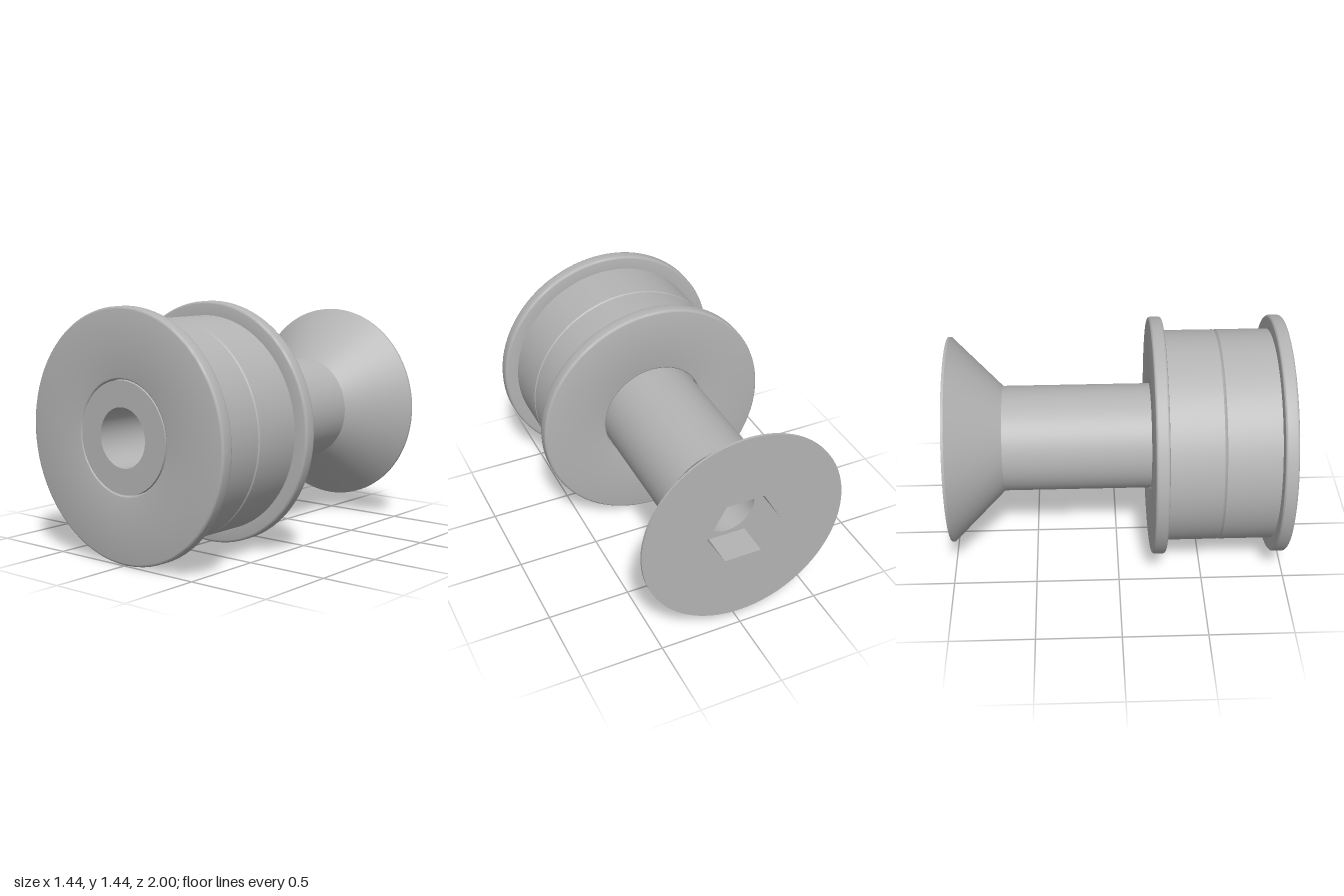
import * as THREE from 'three';
import { toCreasedNormals } from 'three/addons/utils/BufferGeometryUtils.js';

const AXIS_Y = 0.72;
const BORE = 0.17, HEX = 0.228, SOCKET_FLOOR = -0.8;

// Revolve a profile of [radius, z] points about the z axis, keeping edges sharp.
function revolve(profile) {
  const points = profile.map(([r, z]) => new THREE.Vector2(r, z));
  return toCreasedNormals(new THREE.LatheGeometry(points, 96).rotateX(Math.PI / 2), 0.6);
}

// Quarter-round corner points, from angle a to a + 90 degrees.
function round(r, z, radius, a) {
  return [0, 1, 2, 3].map(i => {
    const t = a + (i / 3) * Math.PI / 2;
    return [r + radius * Math.cos(t), z + radius * Math.sin(t)];
  });
}

function circle(radius, Type = THREE.Path) {
  return new Type().absarc(0, 0, radius, 0, Math.PI * 2, false);
}

function hexagon(Type) {
  const points = [];
  for (let i = 0; i < 6; i++) {
    const a = i * Math.PI / 3;
    points.push(new THREE.Vector2(HEX * Math.cos(a), HEX * Math.sin(a)));
  }
  return new Type(points);
}

// Flat face with a hole, looking towards -z.
function backFace(shape, hole, z) {
  shape.holes.push(hole);
  return new THREE.ShapeGeometry(shape, 96).rotateY(Math.PI).translate(0, 0, z);
}

export function createModel() {
  const model = new THREE.Group();
  model.name = 'flangedRollerOnScrew';
  const steel = new THREE.MeshStandardMaterial({ color: 0xb4b4b4 });
  steel.name = 'steel grey';

  const add = (name, geometry, parent) => {
    const mesh = new THREE.Mesh(geometry, steel);
    mesh.name = name;
    parent.add(mesh);
    return mesh;
  };

  // Two flanged sleeves meeting at a fine groove
  const f = 0.015, inner = 0.318, barrel = 0.638, flange = 0.72;
  const sleeve = revolve([
    [inner, 0], [barrel - 0.008, 0], [barrel, 0.008], [barrel, 0.32],
    ...round(flange - f, 0.32 + f, f, -Math.PI / 2),
    ...round(flange - f, 0.4 - f, f, 0),
    ...round(inner + 0.015, 0.39, 0.01, Math.PI / 2),
    [inner + 0.005, 0.36], [inner, 0.36], [inner, 0],
  ]);
  const rollers = new THREE.Group();
  rollers.name = 'rollers';
  rollers.position.set(0, AXIS_Y, 0.6);
  add('frontSleeve', sleeve, rollers);
  add('backSleeve', sleeve, rollers).rotation.y = Math.PI;

  // Hollow countersunk screw
  const screw = new THREE.Group();
  screw.name = 'screw';
  screw.position.y = AXIS_Y;
  add('shankAndHead', revolve([
    [0.62, -1], [0.62, -0.985], [0.318, -0.68], [0.318, 1],
    [BORE, 1], [BORE, SOCKET_FLOOR],
  ]), screw);
  add('headFace', backFace(circle(0.62, THREE.Shape), hexagon(THREE.Path), -1), screw);

  // Hexagonal socket, its walls turned inward
  add('socketFloor', backFace(hexagon(THREE.Shape), circle(BORE), SOCKET_FLOOR), screw);
  const depth = SOCKET_FLOOR + 1;
  const walls = new THREE.CylinderGeometry(HEX, HEX, depth, 6, 1, true, Math.PI / 6)
    .rotateX(Math.PI / 2).scale(-1, 1, 1).translate(0, 0, -1 + depth / 2).toNonIndexed();
  walls.computeVertexNormals();
  add('socketWalls', walls, screw);

  model.add(rollers, screw);
  return model;
}
